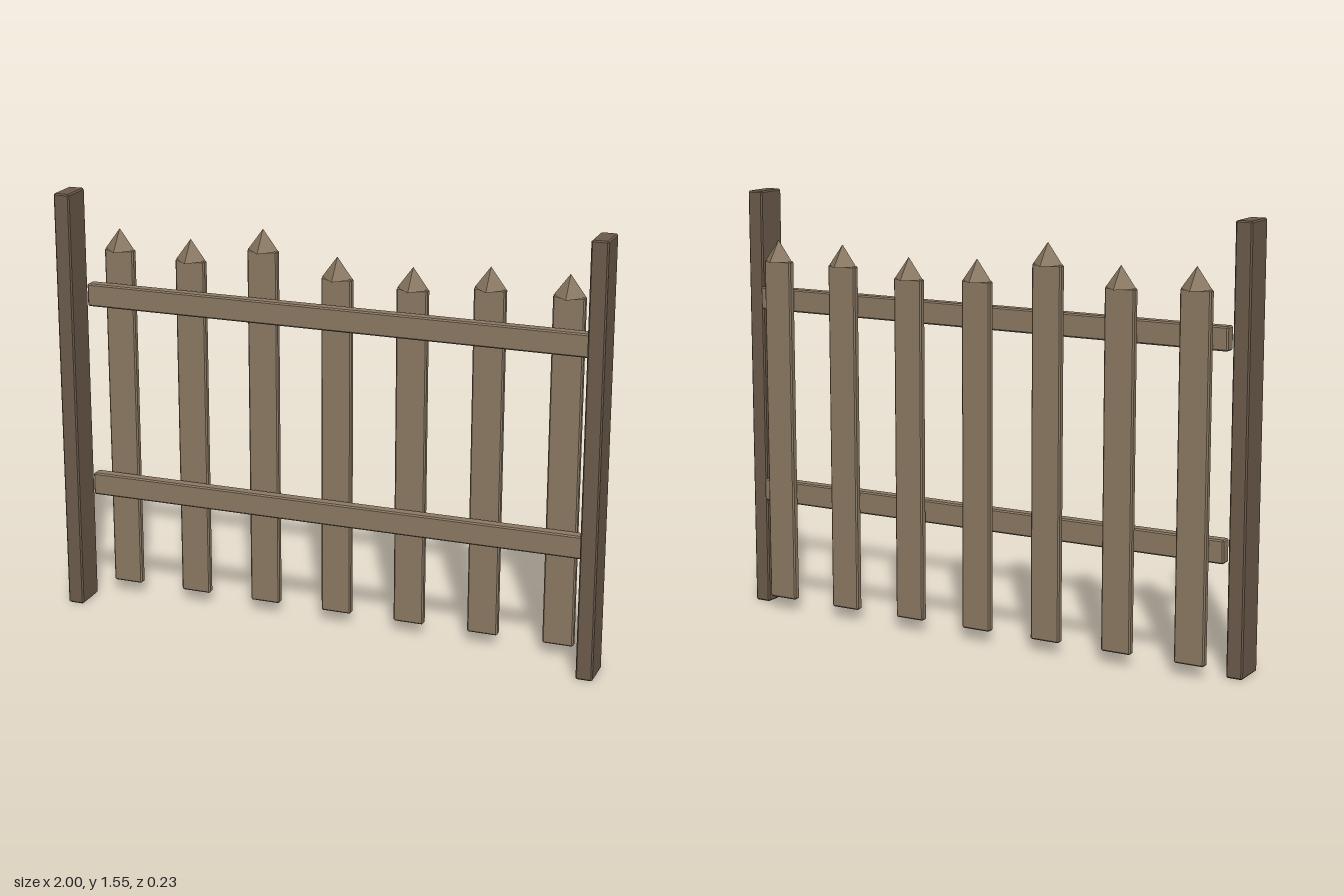
import * as THREE from 'three';
import { ConvexGeometry } from 'three/addons/geometries/ConvexGeometry.js';

// Box between two corners with a small flat chamfer on every edge
function chamferBox(x0, x1, y0, y1, z0, z1, c = 0.005) {
  const half = new THREE.Vector3(x1 - x0, y1 - y0, z1 - z0).multiplyScalar(0.5);
  const points = [];
  for (const sx of [-1, 1]) for (const sy of [-1, 1]) for (const sz of [-1, 1]) {
    for (const full of ['x', 'y', 'z']) {
      const p = half.clone().subScalar(c);
      p[full] += c;
      points.push(p.multiply(new THREE.Vector3(sx, sy, sz)));
    }
  }
  const geometry = new ConvexGeometry(points);
  geometry.translate((x0 + x1) / 2, (y0 + y1) / 2, (z0 + z1) / 2);
  return geometry;
}

export function createModel() {
  const darkWood = new THREE.MeshStandardMaterial({ color: 0x6b5a4a });
  darkWood.name = 'dark wood';
  const lightWood = new THREE.MeshStandardMaterial({ color: 0x8b7963 });
  lightWood.name = 'light wood';

  const fence = new THREE.Group();
  fence.name = 'fence';
  const add = (name, geometry, material, parent = fence) => {
    const mesh = new THREE.Mesh(geometry, material);
    mesh.name = name;
    parent.add(mesh);
    return mesh;
  };

  // End posts
  add('leftPost', chamferBox(0.94, 1, 0, 1.55, -0.007, 0.117), darkWood);
  add('rightPost', chamferBox(-1, -0.94, 0, 1.55, -0.007, 0.117), darkWood);

  // Horizontal rails
  add('lowerRail', chamferBox(-0.933, 0.933, 0.4, 0.483, -0.032, 0.012), lightWood);
  add('upperRail', chamferBox(-0.933, 0.933, 1.12, 1.203, -0.032, 0.012), lightWood);

  // Pickets of uneven height with four-sided points
  const pointGeometry = new THREE.ConeGeometry(0.058, 0.078, 4).toNonIndexed();
  pointGeometry.computeVertexNormals();
  [1.325, 1.31, 1.37, 1.295, 1.283, 1.31, 1.31].forEach((top, i) => {
    const x = (i - 3) * 0.277;
    const picket = new THREE.Group();
    picket.name = 'picket' + (i + 1);
    fence.add(picket);
    add('board', chamferBox(x - 0.056, x + 0.056, 0.045, top, -0.072, -0.044), lightWood, picket);
    add('point', pointGeometry, lightWood, picket).position.set(x, top + 0.036, -0.059);
  });

  return fence;
}
